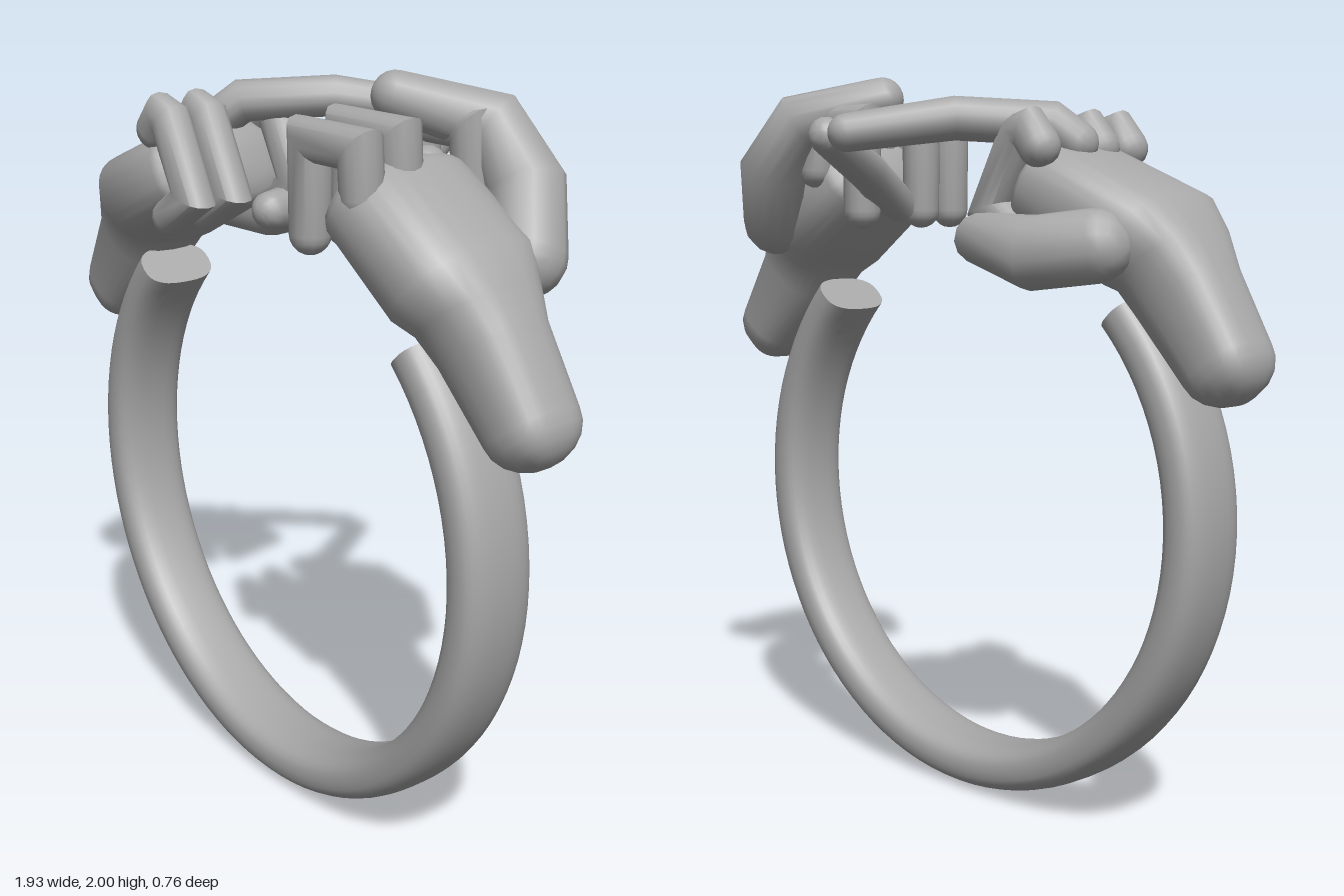
import * as THREE from 'three';
import { toCreasedNormals } from 'three/addons/utils/BufferGeometryUtils.js';

// Sweeps a rounded section along mitred points [x, y, z, inPlaneRadius, crossRadius].
// power 2 gives an ellipse, higher gives a squarer section; cap is the length of each rounded end.
function sweep(stations, { power = 2, caps = [0, 0], sides = 20, crease = 0.9 } = {}) {
  const p = stations.map((s) => new THREE.Vector3(s[0], s[1], s[2]));
  const dirs = p.slice(1).map((q, i) => q.clone().sub(p[i]).normalize());
  const last = p.length - 1;
  const pos = [];
  const index = [];
  const rings = [];
  const soft = (v) => Math.sign(v) * Math.abs(v) ** (2 / power);
  const addRing = (c, u, v, ru, rv) => {
    rings.push(pos.length / 3);
    for (let k = 0; k < sides; k++) {
      const a = (k / sides) * Math.PI * 2;
      const q = c.clone().addScaledVector(u, ru * soft(Math.cos(a))).addScaledVector(v, rv * soft(Math.sin(a)));
      pos.push(q.x, q.y, q.z);
    }
  };
  const addPole = (c) => pos.push(c.x, c.y, c.z) / 3 - 1;

  let v = new THREE.Vector3(0, 0, 1);
  v.addScaledVector(dirs[0], -v.dot(dirs[0])).normalize();
  let u = v.clone().cross(dirs[0]);
  const steps = 5;
  const startPole = addPole(p[0].clone().addScaledVector(dirs[0], -caps[0]));
  if (caps[0] > 0) {
    for (let j = steps - 1; j > 0; j--) {
      const a = (j / steps) * Math.PI / 2;
      const c = p[0].clone().addScaledVector(dirs[0], -caps[0] * Math.sin(a));
      addRing(c, u, v, stations[0][3] * Math.cos(a), stations[0][4] * Math.cos(a));
    }
  }
  for (let i = 0; i <= last; i++) {
    const d = dirs[Math.max(i - 1, 0)];
    const next = dirs[Math.min(i, last - 1)];
    const t = d.clone().add(next).normalize();
    const mitre = (w) => w.clone().addScaledVector(d, -w.dot(t) / d.dot(t));
    const mu = mitre(u);
    const mv = mitre(v);
    addRing(p[i], mu, mv, stations[i][3], stations[i][4]);
    u = mu.addScaledVector(next, -mu.dot(next));
    v = mv.addScaledVector(next, -mv.dot(next));
  }
  const endDir = dirs[last - 1];
  if (caps[1] > 0) {
    for (let j = 1; j < steps; j++) {
      const a = (j / steps) * Math.PI / 2;
      const c = p[last].clone().addScaledVector(endDir, caps[1] * Math.sin(a));
      addRing(c, u, v, stations[last][3] * Math.cos(a), stations[last][4] * Math.cos(a));
    }
  }
  const endPole = addPole(p[last].clone().addScaledVector(endDir, caps[1]));

  const first = rings[0];
  const final = rings[rings.length - 1];
  for (let k = 0; k < sides; k++) {
    const n = (k + 1) % sides;
    index.push(startPole, first + n, first + k, endPole, final + k, final + n);
    for (let r = 0; r < rings.length - 1; r++) {
      const a = rings[r];
      const b = rings[r + 1];
      index.push(a + k, a + n, b + n, a + k, b + n, b + k);
    }
  }
  const g = new THREE.BufferGeometry();
  g.setAttribute('position', new THREE.Float32BufferAttribute(pos, 3));
  g.setIndex(index);
  return toCreasedNormals(g, crease);
}

export function createModel() {
  const model = new THREE.Group();
  model.name = 'handsRing';
  const metal = new THREE.MeshStandardMaterial({ color: 0xa8a8a8 });
  metal.name = 'grey metal';

  const add = (parent, name, geometry) => {
    const mesh = new THREE.Mesh(geometry, metal);
    mesh.name = name;
    parent.add(mesh);
  };
  // Digit of round section: points [x, y, z, radius]
  const digit = (parent, name, points) => {
    const stations = points.map(([x, y, z, r]) => [x, y, z, r, r]);
    const caps = [points[0][3], points[points.length - 1][3]];
    add(parent, name, sweep(stations, { caps, sides: 14, power: 2.2 }));
  };

  // Open band, running under from one cut end to the other
  const band = [];
  const gap = THREE.MathUtils.degToRad(45.5);
  const segments = 72;
  for (let i = 0; i <= segments; i++) {
    const a = Math.PI / 2 + gap + (i / segments) * (Math.PI * 2 - 2 * gap);
    band.push([-0.014 + 0.77 * Math.cos(a), 0.835 + 0.77 * Math.sin(a), 0.177, 0.064, 0.109]);
  }
  add(model, 'band', sweep(band, { power: 2.7, sides: 28 }));

  // Hand on the +x side
  const leftHand = new THREE.Group();
  leftHand.name = 'leftHand';
  model.add(leftHand);
  add(leftHand, 'forearmAndPalm', sweep([
    [0.862, 1.265, 0.16, 0.105, 0.112],
    [0.735, 1.43, 0.165, 0.128, 0.124],
    [0.685, 1.505, 0.168, 0.132, 0.155],
    [0.64, 1.56, 0.175, 0.138, 0.198],
    [0.415, 1.715, 0.178, 0.122, 0.203],
  ], { power: 2.6, caps: [0.1, 0.07], sides: 28, crease: 1.1 }));
  [['littleFinger', 0.325, -0.015], ['ringFinger', 0.21, 0], ['indexFinger', -0.015, 0]].forEach(([name, z, dy]) => {
    digit(leftHand, name, [
      [0.46, 1.74, z, 0.052],
      [0.452, 1.866 + dy, z, 0.052],
      [0.264, 1.866 + dy, z, 0.052],
      [0.264, 1.625, z, 0.05],
    ]);
  });
  digit(leftHand, 'middleFinger', [
    [0.42, 1.78, 0.1, 0.055],
    [0.25, 1.655, 0.09, 0.052],
    [0.16, 1.735, -0.09, 0.052],
    [0.035, 1.82, -0.335, 0.047],
  ]);
  digit(leftHand, 'thumb', [
    [0.655, 1.59, -0.01, 0.095],
    [0.565, 1.74, -0.09, 0.092],
    [0.465, 1.875, -0.07, 0.075],
    [0.295, 1.935, 0.09, 0.06],
  ]);

  // Hand on the -x side
  const rightHand = new THREE.Group();
  rightHand.name = 'rightHand';
  model.add(rightHand);
  add(rightHand, 'forearmAndPalm', sweep([
    [-0.865, 1.265, 0.16, 0.107, 0.112],
    [-0.74, 1.43, 0.165, 0.13, 0.124],
    [-0.69, 1.51, 0.165, 0.132, 0.16],
    [-0.64, 1.56, 0.16, 0.14, 0.205],
    [-0.36, 1.685, 0.162, 0.124, 0.21],
  ], { power: 2.6, caps: [0.1, 0.06], sides: 28, crease: 1.1 }));
  [['littleFinger', 0.325], ['ringFinger', 0.21], ['indexFinger', -0.015]].forEach(([name, z]) => {
    digit(rightHand, name, [
      [-0.405, 1.79, z, 0.053],
      [-0.37, 1.83, z, 0.053],
      [-0.335, 1.82, z, 0.053],
      [-0.238, 1.635, z, 0.052],
      [-0.35, 1.565, z, 0.05],
    ]);
  });
  digit(rightHand, 'middleFinger', [
    [-0.41, 1.8, 0.12, 0.055],
    [-0.355, 1.85, 0.08, 0.055],
    [-0.21, 1.862, -0.12, 0.054],
    [-0.04, 1.825, -0.335, 0.047],
  ]);
  digit(rightHand, 'thumb', [
    [-0.61, 1.55, -0.03, 0.092],
    [-0.46, 1.53, -0.095, 0.092],
    [-0.29, 1.56, -0.085, 0.068],
    [-0.235, 1.57, 0.08, 0.052],
  ]);

  return model;
}
